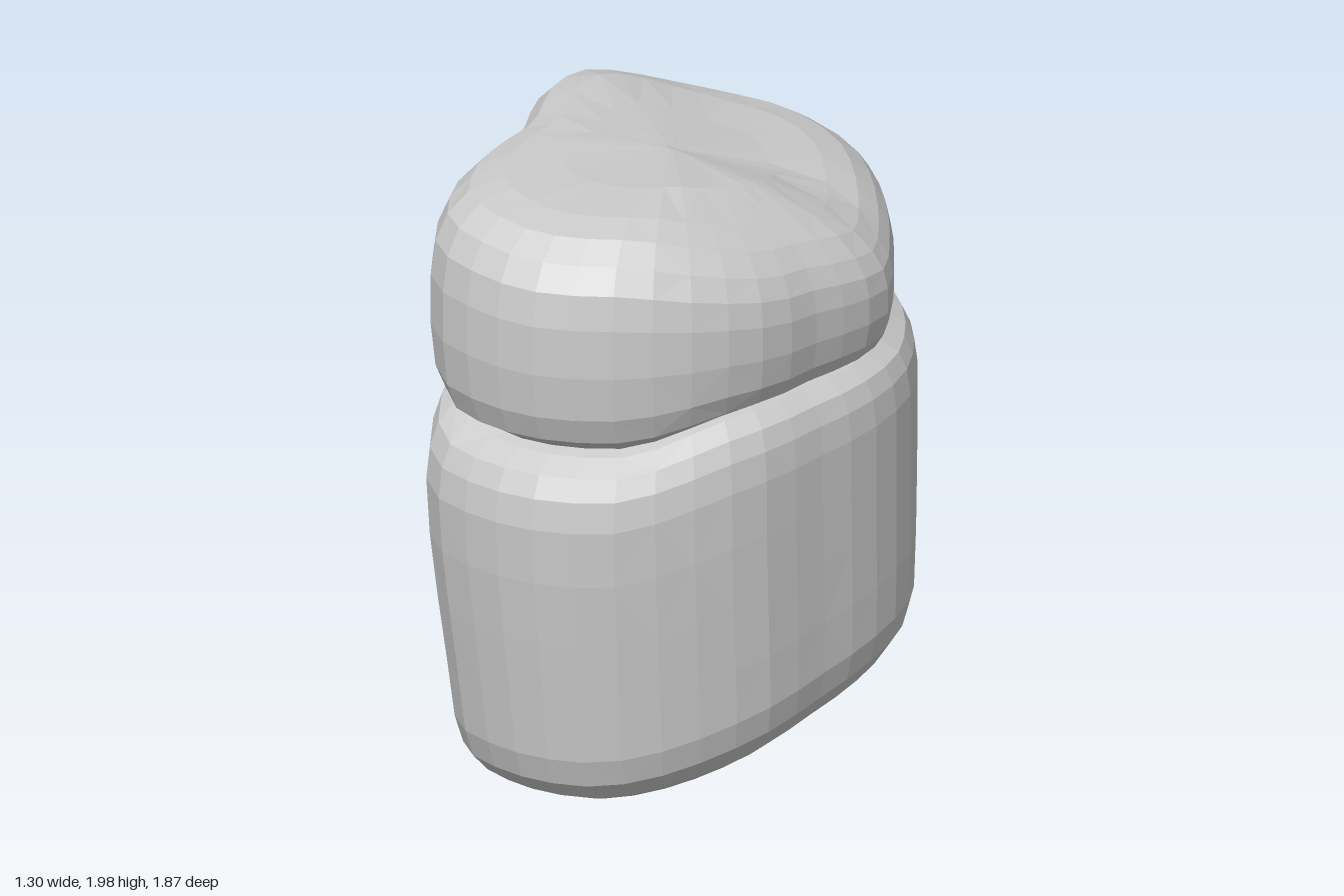
import * as THREE from 'three';

const SEGMENTS = 40;
const bump = (d, w) => Math.exp(-(d * d) / (w * w));
const { smoothstep } = THREE.MathUtils;

// Plan outlines as [x, z], running from the front round by +x
const upperPlan = [
  [-0.2, 0.93], [0.05, 0.89], [0.27, 0.77], [0.44, 0.58], [0.52, 0.38], [0.6, 0.2], [0.63, 0.05],
  [0.57, -0.2], [0.47, -0.45], [0.34, -0.65], [0.13, -0.76], [-0.12, -0.8], [-0.35, -0.74],
  [-0.52, -0.57], [-0.6, -0.28], [-0.57, 0.04], [-0.62, 0.27], [-0.64, 0.47], [-0.58, 0.73], [-0.41, 0.87],
];
const lowerPlan = [
  [-0.2, 0.94], [0.05, 0.9], [0.26, 0.77], [0.43, 0.58], [0.52, 0.38], [0.61, 0.17], [0.65, -0.07],
  [0.62, -0.27], [0.53, -0.5], [0.39, -0.68], [0.15, -0.76], [-0.14, -0.8], [-0.41, -0.75],
  [-0.57, -0.6], [-0.6, -0.28], [-0.57, 0.04], [-0.63, 0.25], [-0.65, 0.47], [-0.59, 0.74], [-0.41, 0.88],
];

// Side profiles as [scale of the plan, fraction of the height]
const upperProfile = [
  [0.02, 0], [0.4, 0], [0.7, 0], [0.86, 0.015], [0.94, 0.08], [0.98, 0.2], [1, 0.4], [1, 0.62],
  [0.98, 0.77], [0.93, 0.88], [0.84, 0.96], [0.7, 0.99], [0.45, 1], [0.02, 1],
];
const lowerProfile = [
  [0.02, 0], [0.3, 0], [0.6, 0], [0.78, 0.01], [0.9, 0.045], [0.965, 0.095], [0.995, 0.17], [1, 0.32], [1, 0.5],
  [1, 0.67], [1, 0.82], [0.985, 0.9], [0.95, 0.955], [0.87, 0.99], [0.7, 1], [0.4, 1], [0.02, 1],
];

// Stacks rings between an uneven floor and an uneven roof
function stone(name, plan, profile, floor, roof, warp) {
  const curve = new THREE.CatmullRomCurve3(plan.map(([x, z]) => new THREE.Vector3(x, 0, z)), true);
  const ring = curve.getSpacedPoints(SEGMENTS).slice(0, SEGMENTS);
  const cx = -0.05, cz = 0.04;
  const positions = [], index = [];
  profile.forEach(([scale, t], row) => {
    ring.forEach((p, i) => {
      const x = cx + (p.x - cx) * scale, z = cz + (p.z - cz) * scale;
      const y = THREE.MathUtils.lerp(floor(x, z), roof(x, z), t);
      positions.push(...warp(x, y, z));
      if (row < profile.length - 1) {
        const a = row * SEGMENTS + i, b = row * SEGMENTS + (i + 1) % SEGMENTS;
        const c = b + SEGMENTS, d = a + SEGMENTS;
        // alternate the diagonals for a faceted surface
        if ((row + i) % 2) index.push(a, b, c, a, c, d);
        else index.push(a, b, d, b, c, d);
      }
    });
  });
  // close both ends
  const last = (profile.length - 1) * SEGMENTS;
  for (let i = 1; i < SEGMENTS - 1; i++) {
    index.push(0, i + 1, i, last, last + i, last + i + 1);
  }
  const geometry = new THREE.BufferGeometry();
  geometry.setAttribute('position', new THREE.Float32BufferAttribute(positions, 3));
  geometry.setIndex(index);
  geometry.computeVertexNormals();
  const mesh = new THREE.Mesh(geometry, new THREE.MeshStandardMaterial({ color: 0xcccccc, flatShading: true }));
  mesh.name = name;
  return mesh;
}

// The joint between the stones dips towards the front and the back -x corner
const joint = (x, z) => 1.355 - 0.09 * smoothstep(z, 0.45, 0.8) * (1 - smoothstep(x, 0, 0.45))
  - 0.08 * smoothstep(-z, 0.4, 0.68) * (1 - smoothstep(x, -0.2, 0.3));

export function createModel() {
  const group = new THREE.Group();
  group.name = 'stackedStones';

  // Lower stone: sloping underside, tapering towards the ground, with a foot at the back
  const footWidth = (x) => 1 - smoothstep(x, -0.1, 0.25);
  const underside = (x, z) => 0.07 + 0.32 * Math.pow(Math.max(0, x + 0.2 - 0.15 * z), 1.5)
    - 0.075 * footWidth(x) * smoothstep(-z, 0.15, 0.55);
  const taper = (x, y, z) => {
    const low = 1 - smoothstep(y, 0.1, 1.1);
    const foot = (1 - smoothstep(y, 0.2, 1.05)) * footWidth(x) * smoothstep(-z, 0.2, 0.65);
    const backCorner = smoothstep(x, 0, 0.3) * smoothstep(-z, 0, 0.3);
    return [
      x * (x < 0 ? 1 - 0.12 * low * (1 - foot) : 1),
      y,
      z * (1 - low * (z > 0 ? 0.09 : 0.1 * backCorner)) - 0.14 * foot,
    ];
  };
  group.add(stone('lowerStone', lowerPlan, lowerProfile, underside, joint, taper));

  // Upper stone: high along the front and -x side, with a hollow towards the back
  const crown = (x, z) => {
    const hollow = smoothstep(-z, -0.2, 0.2) * smoothstep(x, -0.45, 0.05);
    return 1.98 - (0.5 - 0.15 * hollow) * Math.pow(Math.max(0, x - 0.06), 1.25)
      + 0.02 * smoothstep(-x, 0.2, 0.5) - 0.11 * hollow
      - 0.1 * smoothstep(-z, 0.3, 0.75) * (1 - 0.7 * hollow);
  };
  group.add(stone('upperStone', upperPlan, upperProfile, joint, crown, (x, y, z) => [x, y, z]));

  return group;
}
